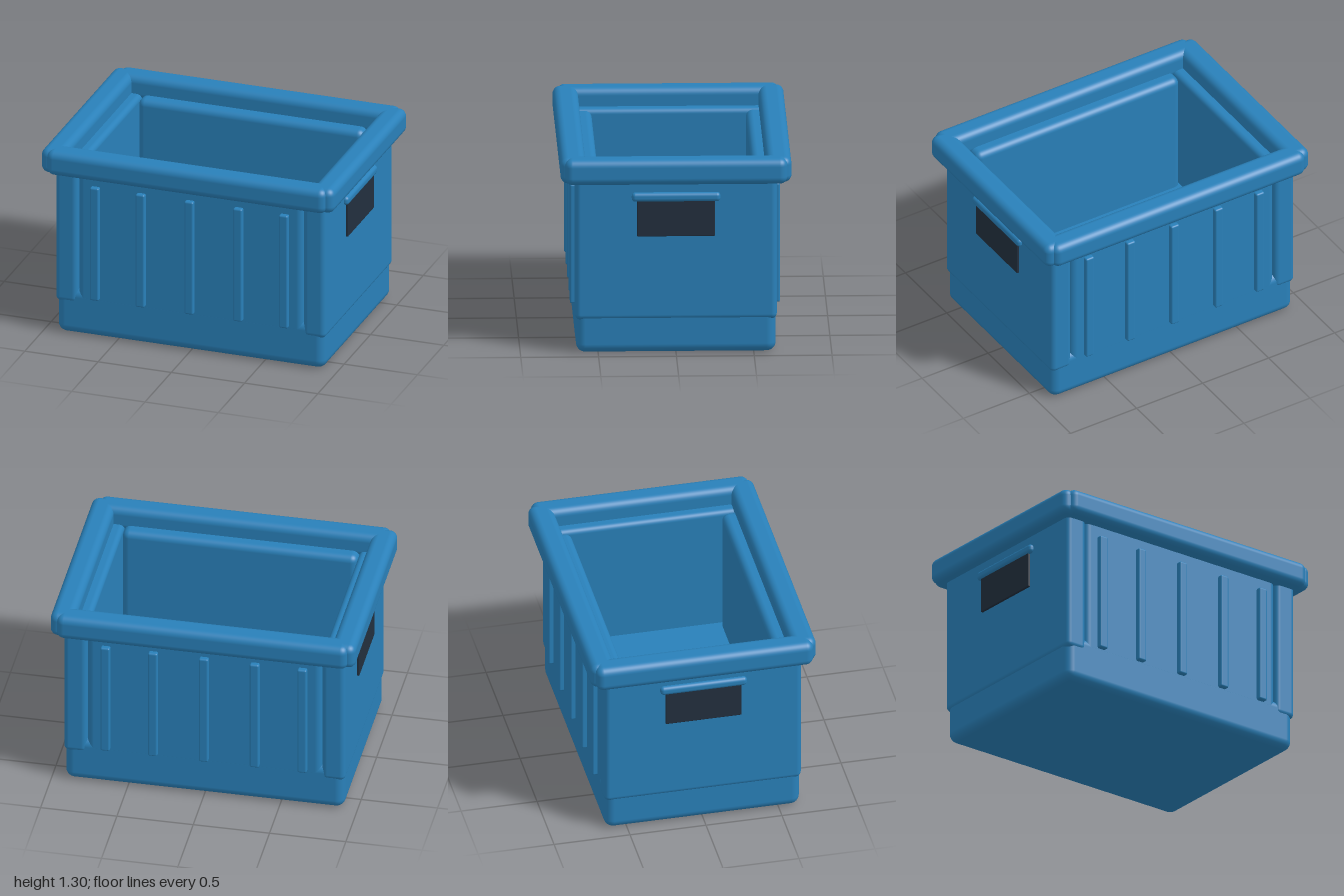
import * as THREE from 'three';
import { RoundedBoxGeometry } from 'three/addons/geometries/RoundedBoxGeometry.js';

const blue = new THREE.MeshStandardMaterial({ color: 0x2980b9 });
const dark = new THREE.MeshStandardMaterial({ color: 0x222f3e });

export function createModel() {
  const crate = new THREE.Group();
  crate.name = 'storageCrate';

  // Rounded block given by its extents on each axis
  function block(name, [x0, x1], [y0, y1], [z0, z1], radius, material = blue) {
    const geometry = new RoundedBoxGeometry(x1 - x0, y1 - y0, z1 - z0, 4, radius);
    const mesh = new THREE.Mesh(geometry, material);
    mesh.name = name;
    mesh.position.set((x0 + x1) / 2, (y0 + y1) / 2, (z0 + z1) / 2);
    crate.add(mesh);
  }
  const span = (side, a, b) => (side > 0 ? [a, b] : [-b, -a]);

  // Solid base, its top is the floor
  block('base', [-0.915, 0.915], [0, 0.32], [-0.642, 0.642], 0.06);

  for (const side of [1, -1]) {
    const lr = side > 0 ? 'left' : 'right';
    const fb = side > 0 ? 'front' : 'back';

    // Walls
    block(lr + 'Wall', span(side, 0.77, 0.922), [0.22, 1.18], [-0.648, 0.648], 0.035);
    block(fb + 'Wall', [-0.77, 0.77], [0.22, 1.18], span(side, 0.495, 0.642), 0.045);

    // Rim bars overlapping at the corners
    block(lr + 'Rim', span(side, 0.84, 1), [1.13, 1.3], [-0.715, 0.715], 0.05);
    block(fb + 'Rim', [-0.955, 0.955], [1.13, 1.3], span(side, 0.58, 0.742), 0.05);

    // Vertical ribs on the long walls
    for (const x of [-0.645, -0.333, 0, 0.333, 0.645]) {
      block(fb + 'Rib', [x - 0.031, x + 0.031], [0.27, 1.06], span(side, 0.62, 0.675), 0.012);
    }

    // Handle recess panel and grip on the short walls
    block(lr + 'HandlePanel', span(side, 0.9, 0.937), [0.78, 1.03], [-0.25, 0.25], 0.005, dark);
    block(lr + 'HandleGrip', span(side, 0.89, 0.95), [1.01, 1.07], [-0.285, 0.285], 0.024);
  }
  return crate;
}
